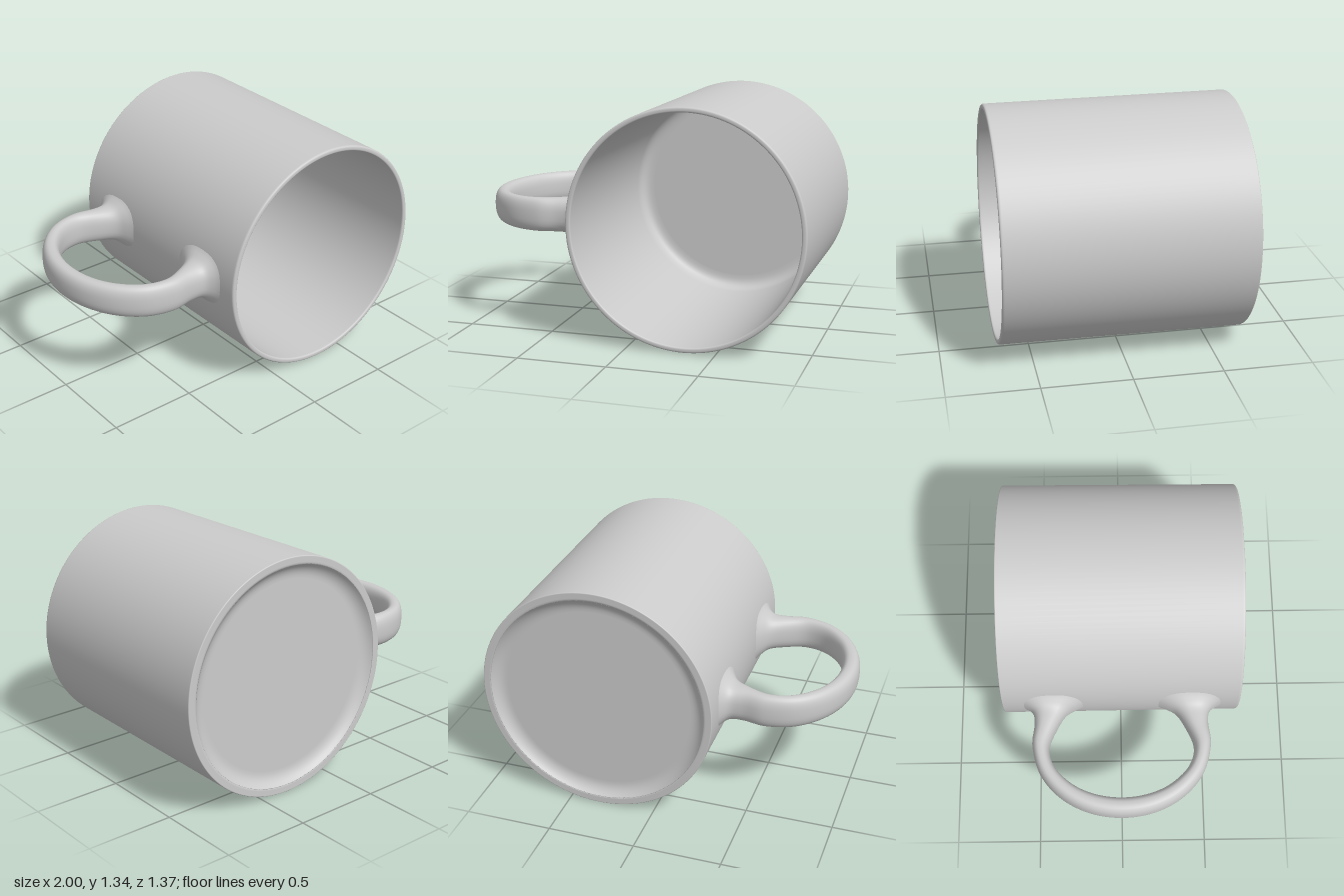
import * as THREE from 'three';

const CX = 0.325, CY = 0.672, R = 0.672; // cup axis (along z) and radius

// Profile through corners [r, z, filletRadius], each rounded smoothly
function roundedProfile(corners) {
  const pts = [];
  corners.forEach(([x, y, f], i) => {
    const p = new THREE.Vector2(x, y);
    if (!f) { pts.push(p); return; }
    const toward = (j) => new THREE.Vector2(corners[j][0], corners[j][1]).sub(p).normalize();
    const a = toward(i - 1), b = toward(i + 1);
    const at = (dir, d) => p.clone().addScaledVector(dir, d);
    const curve = new THREE.QuadraticBezierCurve(at(a, f), p, at(b, f));
    // guard points keep the long straight stretches shading flat
    pts.push(at(a, f * 1.08), ...curve.getPoints(8), at(b, f * 1.08));
  });
  return pts;
}

function makeCup() {
  const profile = roundedProfile([
    [0, -0.645, 0],          // recessed base
    [0.595, -0.645, 0.05],
    [0.625, -0.685, 0.012],  // foot ring
    [R, -0.685, 0.006],
    [R - 0.006, 0.685, 0.014], // rim
    [0.636, 0.685, 0.012],
    [0.636, -0.6, 0.08],     // inner wall and floor
    [0, -0.6, 0],
  ]);
  const geo = new THREE.LatheGeometry(profile, 128);
  geo.rotateX(Math.PI / 2);
  geo.translate(CX, CY, 0);
  return geo;
}

function makeHandle() {
  // Half of the loop: outer x, outer z, inner x, inner z, half height
  const half = [
    [-0.328, 0.62, -0.333, 0.19, 0.175],
    [-0.352, 0.55, -0.36, 0.255, 0.135],
    [-0.39, 0.508, -0.395, 0.312, 0.106],
    [-0.46, 0.498, -0.47, 0.362, 0.098],
    [-0.58, 0.51, -0.6, 0.412, 0.096],
    [-0.745, 0.467, -0.71, 0.383, 0.094],
    [-0.88, 0.355, -0.815, 0.28, 0.092],
    [-0.97, 0.19, -0.873, 0.155, 0.09],
  ];
  const stations = [
    ...half.map(([a, b, c, d, h]) => [a, -b, c, -d, h]),
    [-1, 0, -0.895, 0, 0.09],
    ...half.slice().reverse(),
  ];
  const spline = (fn) => new THREE.CatmullRomCurve3(stations.map(fn));
  const outer = spline((s) => new THREE.Vector3(s[0], s[4], s[1]));
  const inner = spline((s) => new THREE.Vector3(s[2], s[4], s[3]));

  const N = 96, M = 32, pos = [], idx = [];
  const power = (v) => Math.sign(v) * Math.abs(v) ** 0.8;
  for (let i = 0; i <= N; i++) {
    const o = outer.getPoint(i / N), n = inner.getPoint(i / N);
    for (let j = 0; j < M; j++) {
      const ang = (j / M) * Math.PI * 2;
      const k = (1 + power(Math.cos(ang))) / 2; // 1 at the outer edge, 0 at the inner
      const dy = power(Math.sin(ang)) * (o.y + n.y) / 2;
      let x = n.x + (o.x - n.x) * k;
      // wrap the flared ends onto the cup wall
      x += (R - Math.sqrt(R * R - dy * dy)) * THREE.MathUtils.smoothstep(x, -0.45, -0.34);
      pos.push(x, CY + dy, n.z + (o.z - n.z) * k);
      if (i < N) {
        const a = i * M + j, b = i * M + ((j + 1) % M);
        idx.push(a, a + M, b, b, a + M, b + M);
      }
    }
  }
  const geo = new THREE.BufferGeometry();
  geo.setAttribute('position', new THREE.Float32BufferAttribute(pos, 3));
  geo.setIndex(idx);
  geo.computeVertexNormals();
  return geo;
}

export function createModel() {
  const group = new THREE.Group();
  group.name = 'mug';
  const material = new THREE.MeshStandardMaterial({ color: 0xcccccc });
  const add = (name, geo) => {
    const mesh = new THREE.Mesh(geo, material);
    mesh.name = name;
    group.add(mesh);
  };
  add('cup', makeCup());
  add('handle', makeHandle());
  return group;
}
